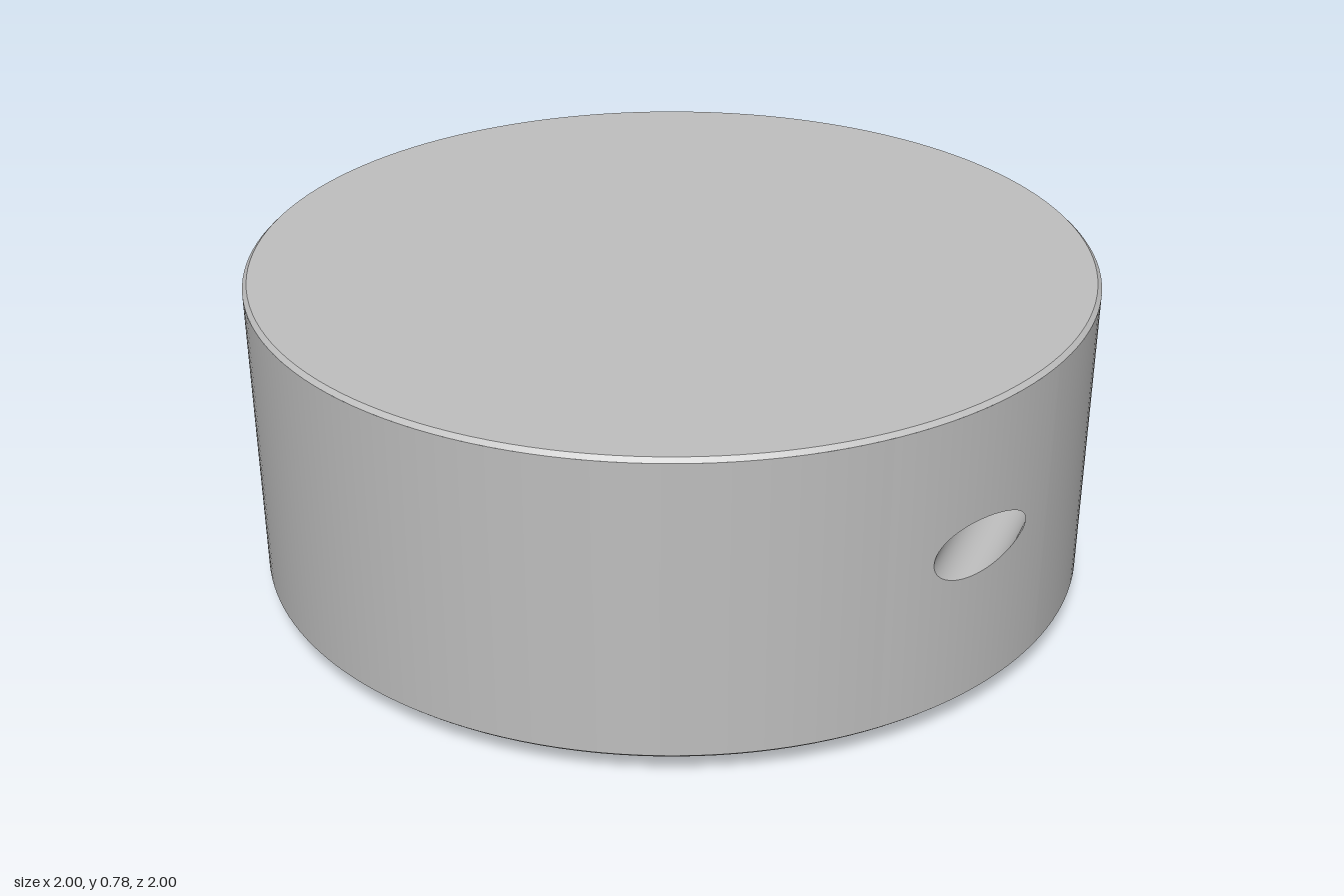
import * as THREE from 'three';

const Y0 = 0.06, Y1 = 0.773, R0 = 0.988, R1 = 1;
const radiusAt = (y) => R0 + (R1 - R0) * (y - Y0) / (Y1 - Y0);
const rad = THREE.MathUtils.degToRad;

// Slanted blind hole: axis point, axis direction (outward) and its horizontal normal
const HOLE_R = 0.0675, HOLE_Y = 0.433, DEPTH = 0.35, TILT = rad(73.5), STEPS = 64;
const C = new THREE.Vector3(0.969, HOLE_Y, 0.185);
const D = new THREE.Vector3(Math.cos(TILT), 0, Math.sin(TILT));
const N = new THREE.Vector3(Math.sin(TILT), 0, -Math.cos(TILT));
// Sector of the side wall that carries the hole
const SECTOR_MID = rad(11), SECTOR_HALF = rad(15);

// Point on the hole's circle, at the depth of the axis point
function circlePoint(t) {
  return C.clone().addScaledVector(N, HOLE_R * Math.cos(t))
    .add(new THREE.Vector3(0, HOLE_R * Math.sin(t), 0));
}

// Where the hole's wall meets the tapered side
function rimPoint(t) {
  const p = circlePoint(t), r = radiusAt(p.y);
  const b = p.x * D.x + p.z * D.z;
  const k = -b + Math.sqrt(b * b - (p.x * p.x + p.z * p.z - r * r));
  return p.addScaledVector(D, k);
}

// Closed ring surface from point(s, t), s in 0..1, t in 0..2PI
function ringSurface(point, rows, flip) {
  const pos = [], index = [];
  for (let i = 0; i <= rows; i++) {
    for (let j = 0; j < STEPS; j++) {
      pos.push(...point(i / rows, j / STEPS * Math.PI * 2).toArray());
      if (i === rows) continue;
      const j2 = (j + 1) % STEPS;
      const a = i * STEPS + j, b = a + STEPS, c = (i + 1) * STEPS + j2, d = i * STEPS + j2;
      index.push(...(flip ? [a, c, b, a, d, c] : [a, b, c, a, c, d]));
    }
  }
  const g = new THREE.BufferGeometry();
  g.setAttribute('position', new THREE.Float32BufferAttribute(pos, 3));
  g.setIndex(index);
  g.computeVertexNormals();
  return g;
}

// Side wall around the hole, spreading from the rim to the sector's edges
function wallPoint(s, t) {
  const rim = rimPoint(t);
  const m = Math.max(Math.abs(Math.cos(t)), Math.abs(Math.sin(t)));
  const u = Math.cos(t) / m, v = Math.sin(t) / m;
  const angle = THREE.MathUtils.lerp(Math.atan2(rim.z, rim.x), SECTOR_MID - SECTOR_HALF * u, s);
  const y = THREE.MathUtils.lerp(rim.y, (Y0 + Y1) / 2 + (Y1 - Y0) / 2 * v, s);
  const r = radiusAt(y);
  return new THREE.Vector3(r * Math.cos(angle), y, r * Math.sin(angle));
}

export function createModel() {
  const model = new THREE.Group();
  model.name = 'roundKnob';
  const metal = new THREE.MeshStandardMaterial({ color: 0xbfbfbf });
  metal.name = 'plainGrey';

  const add = (parent, name, geometry) => {
    const mesh = new THREE.Mesh(geometry, metal);
    mesh.name = name;
    parent.add(mesh);
    return mesh;
  };
  const band = (name, a, b, start = 0, length = Math.PI * 2, segments = 144) =>
    add(model, name, new THREE.LatheGeometry(
      [new THREE.Vector2(...a), new THREE.Vector2(...b)], segments, start, length));

  // Flat bands, each separate so the edges stay sharp
  band('hubUnderside', [0, 0], [0.407, 0]);
  band('hubSide', [0.407, 0], [0.407, 0.052]);
  band('bodyUnderside', [0.407, 0.052], [0.979, 0.052]);
  band('lowerChamfer', [0.979, 0.052], [R0, Y0]);
  band('upperChamfer', [R1, Y1], [0.99, 0.783]);
  band('topFace', [0.99, 0.783], [0, 0.783]);

  // Two plain stretches of side wall, and between them two sectors with a hole
  for (let i = 0; i < 2; i++) {
    const start = Math.PI / 2 - SECTOR_MID + SECTOR_HALF + i * Math.PI;
    band('sideWall', [R0, Y0], [R1, Y1], start, Math.PI - 2 * SECTOR_HALF, 72);

    const sector = new THREE.Group();
    sector.name = 'holeSector';
    sector.rotation.y = i * Math.PI;
    model.add(sector);

    const wall = ringSurface(wallPoint, 10, false);
    const p = wall.attributes.position;
    for (let k = 0; k < p.count; k++) {
      const r = Math.hypot(p.getX(k), p.getZ(k));
      wall.attributes.normal.setXYZ(k, p.getX(k) / r, 0, p.getZ(k) / r);
    }
    add(sector, 'holeSurround', wall);

    add(sector, 'holeWall', ringSurface((s, t) =>
      rimPoint(t).lerp(circlePoint(t).addScaledVector(D, -DEPTH), s), 4, true));

    const floor = add(sector, 'holeFloor', new THREE.CircleGeometry(HOLE_R, STEPS));
    floor.position.copy(C).addScaledVector(D, -DEPTH);
    floor.rotation.y = Math.PI / 2 - TILT;
  }
  return model;
}
